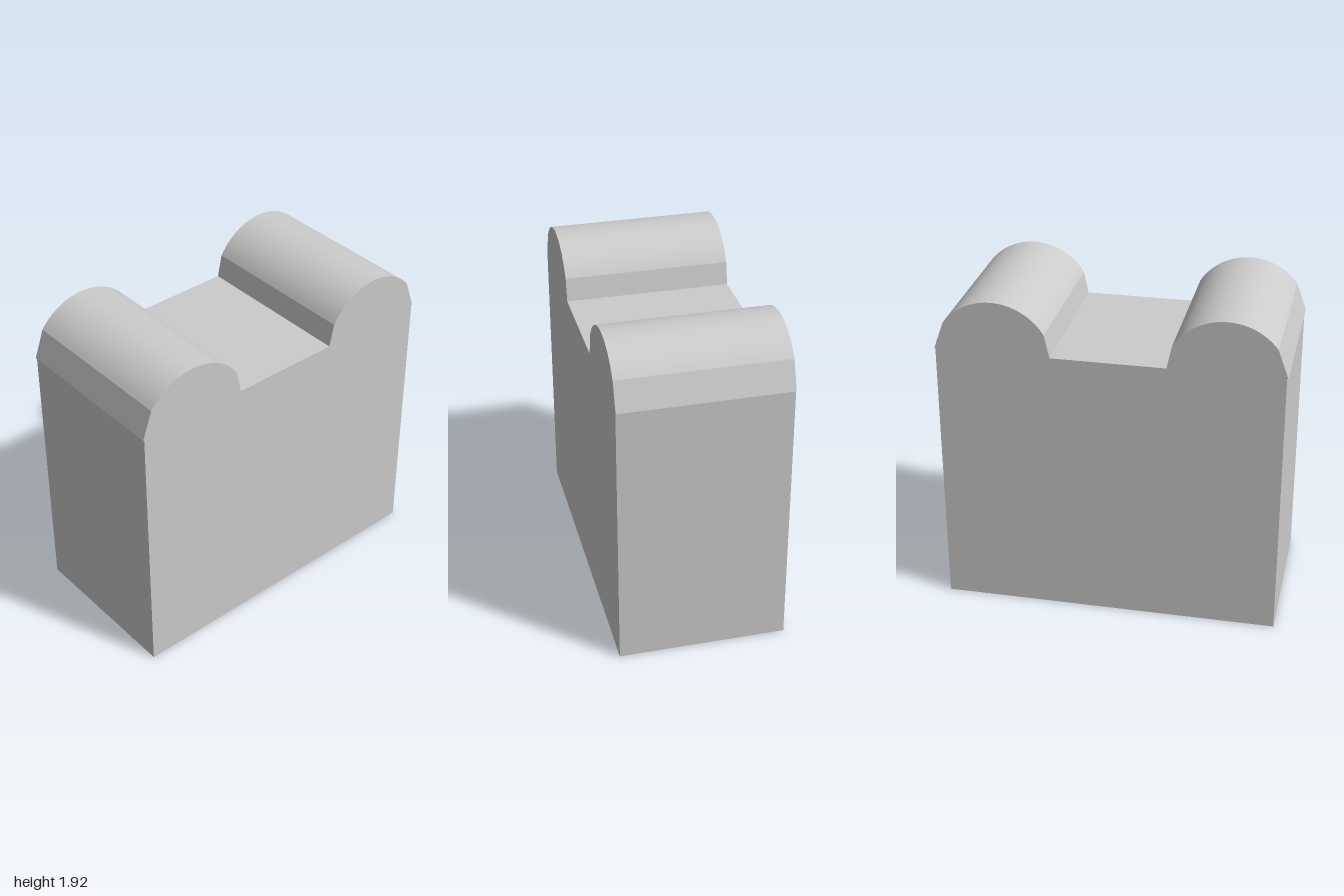
import * as THREE from 'three';
import { toCreasedNormals } from 'three/addons/utils/BufferGeometryUtils.js';

const DEPTH = 0.98, SHOULDER = 1.62, HALF = 0.993;
const ARC = { x: 0.66, y: 1.575, r: 0.35 };
const OUTER = Math.acos(0.8), INNER = Math.PI - Math.acos(0.86);

// Outline of the right-hand roll, running from its outer foot to its inner foot
function rollOutline() {
  const points = [new THREE.Vector2(1, SHOULDER)];
  const steps = 24;
  for (let i = 0; i <= steps; i++) {
    const a = OUTER + (INNER - OUTER) * i / steps;
    points.push(new THREE.Vector2(ARC.x + ARC.r * Math.cos(a), ARC.y + ARC.r * Math.sin(a)));
  }
  points.push(new THREE.Vector2(0.33, SHOULDER));
  return points;
}

export function createModel() {
  const group = new THREE.Group();
  group.name = 'twinRollBlock';

  // Straight-sided block with a mirrored roll on each side of a flat seat
  const roll = rollOutline();
  const mirrored = roll.map(p => new THREE.Vector2(-p.x, p.y)).reverse();
  const shape = new THREE.Shape([
    new THREE.Vector2(-HALF, 0),
    new THREE.Vector2(HALF, 0),
    new THREE.Vector2(HALF, SHOULDER),
    ...roll,
    ...mirrored,
    new THREE.Vector2(-HALF, SHOULDER),
  ]);
  const geometry = new THREE.ExtrudeGeometry(shape, { depth: DEPTH, bevelEnabled: false });
  geometry.translate(0, 0, -DEPTH / 2);

  const body = new THREE.Mesh(
    toCreasedNormals(geometry, 0.15),
    new THREE.MeshStandardMaterial({ color: 0xcccccc })
  );
  body.name = 'body';
  group.add(body);
  return group;
}
